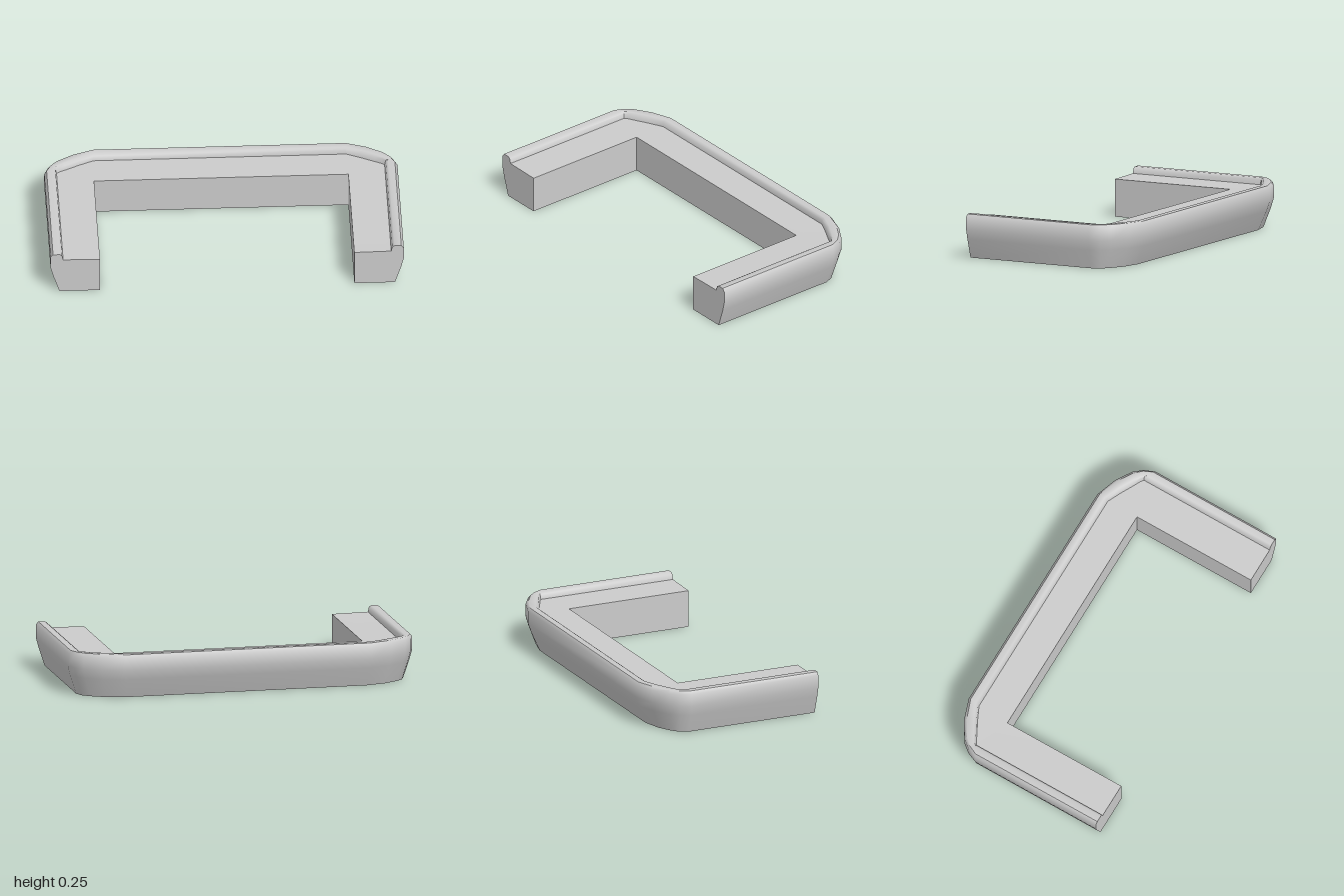
import * as THREE from 'three';
import { toCreasedNormals } from 'three/addons/utils/BufferGeometryUtils.js';

const FRONT = 0.503;

// Plan curves [x, z] of the left half, from the front end to the back run
const inner = [[0.72, FRONT], ...Array(5).fill([0.72, -0.245])];
const bottom = [[0.95, FRONT], [0.95, -0.28], [0.93, -0.33], [0.89, -0.365], [0.81, -0.41], [0.7, -0.438]];
const outer = [[1, FRONT], [1, -0.29], [0.975, -0.35], [0.935, -0.4], [0.84, -0.46], [0.715, -0.503]];
const rim = [[0.935, FRONT], [0.935, -0.325], [0.915, -0.34], [0.875, -0.36], [0.8, -0.4], [0.715, -0.44]];

// Moves a plan curve a fraction of the way toward another
const blend = (a, b, t) => a.map((p, i) => [p[0] + (b[i][0] - p[0]) * t, p[1] + (b[i][1] - p[1]) * t]);

// Cross-section as levels: plan curve and height, anticlockwise from the inner bottom edge
const levels = [
  [inner, 0],
  [bottom, 0],
  [blend(bottom, outer, 0.72), 0.11],
  [outer, 0.165],
  [outer, 0.238],
  [blend(outer, rim, 0.22), 0.255],
  [blend(outer, rim, 0.8), 0.255],
  [rim, 0.246],
  [blend(rim, inner, 0.03), 0.218],
  [inner, 0.215],
];

function frameGeometry() {
  // Rings along the U: left half, then its mirror image
  const half = outer.map((_, i) => levels.map(([curve, y]) => new THREE.Vector3(curve[i][0], y, curve[i][1])));
  const mirrored = half.map(ring => ring.map(p => new THREE.Vector3(-p.x, p.y, p.z))).reverse();
  const rings = [...half, ...mirrored];
  const positions = [];
  const tri = (a, b, c) => {
    if (new THREE.Triangle(a, b, c).getArea() > 1e-7) {
      for (const p of [a, b, c]) positions.push(p.x, p.y, p.z);
    }
  };

  // Skin between neighbouring rings
  for (let i = 0; i < rings.length - 1; i++) {
    for (let j = 0; j < levels.length; j++) {
      const k = (j + 1) % levels.length;
      tri(rings[i][j], rings[i + 1][j], rings[i + 1][k]);
      tri(rings[i][j], rings[i + 1][k], rings[i][k]);
    }
  }

  // Flat front ends
  const first = rings[0];
  const last = rings[rings.length - 1];
  const contour = first.map(p => new THREE.Vector2(p.x, p.y));
  for (const [a, b, c] of THREE.ShapeUtils.triangulateShape(contour, [])) {
    tri(first[a], first[b], first[c]);
    tri(last[a], last[c], last[b]);
  }

  const geometry = new THREE.BufferGeometry();
  geometry.setAttribute('position', new THREE.Float32BufferAttribute(positions, 3));
  return toCreasedNormals(geometry, 0.85);
}

export function createModel() {
  const group = new THREE.Group();
  group.name = 'uShapedCounter';
  const material = new THREE.MeshStandardMaterial({ color: 0xcccccc });
  const frame = new THREE.Mesh(frameGeometry(), material);
  frame.name = 'rimmedFrame';
  group.add(frame);
  return group;
}
